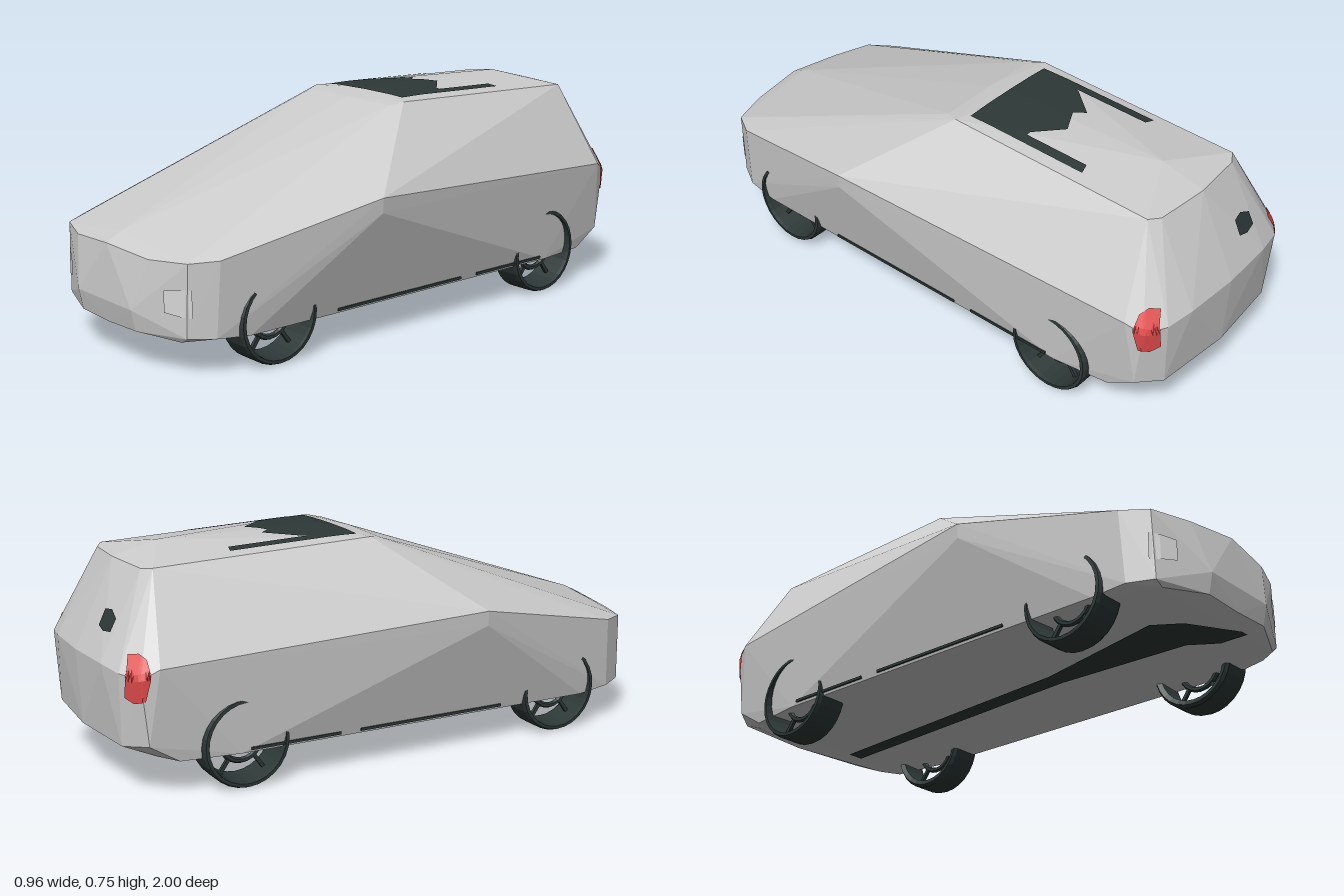
import * as THREE from 'three';
import { ConvexGeometry } from 'three/addons/geometries/ConvexGeometry.js';

const material = (name, color, side = THREE.FrontSide) => {
  const m = new THREE.MeshStandardMaterial({ color, side, flatShading: true });
  m.name = name;
  return m;
};

export function createModel() {
  const car = new THREE.Group();
  car.name = 'car';
  const paint = material('silver paint', 0xcbcbcb);
  const dark = material('dark rubber and glass', 0x2d3837, THREE.DoubleSide);
  const red = material('red lamp', 0xe04a4a, THREE.DoubleSide);
  const lens = material('clear lens', 0xd6d6d6, THREE.DoubleSide);

  const add = (name, geometry, mat, parent = car) => {
    const mesh = new THREE.Mesh(geometry, mat);
    mesh.name = name;
    parent.add(mesh);
    return mesh;
  };

  // Faceted body shell: half of its corners, mirrored in x
  const corners = [
    // nose
    [0, 0.125, 0.985], [0.15, 0.2, 1], [0.15, 0.13, 0.985], [0.2, 0.365, 0.965], [0, 0.38, 0.985],
    [0.33, 0.135, 0.92], [0.335, 0.37, 0.915], [0.375, 0.13, 0.84], [0.385, 0.375, 0.83], [0, 0.41, 0.925],
    // widest points at the mirrors
    [0.478, 0.495, 0.26], [0.475, 0.445, 0.26],
    // roof
    [0.21, 0.722, 0], [0, 0.728, 0], [0.23, 0.732, -0.05], [0, 0.745, -0.12],
    [0, 0.748, -0.71], [0.23, 0.708, -0.82], [0.19, 0.703, -0.845], [0, 0.708, -0.865],
    // tail
    [0, 0.42, -1], [0.2, 0.42, -0.99], [0.3, 0.41, -0.97], [0.365, 0.4, -0.925], [0.39, 0.43, -0.87],
    [0, 0.17, -0.985], [0.28, 0.17, -0.96], [0.36, 0.18, -0.9], [0.31, 0.13, -0.86],
    // floor
    [0.385, 0.118, 0.72], [0.385, 0.118, -0.6], [0.36, 0.118, -0.8], [0.3, 0.118, 0.92],
  ];
  const points = corners.flatMap(([x, y, z]) =>
    (x ? [1, -1] : [1]).map((s) => new THREE.Vector3(s * x, y, z)));
  const body = add('bodyShell', new ConvexGeometry(points), paint);
  body.updateMatrixWorld();

  // Thin patch laid on the shell. Columns are [a, b0, b1] in the plane seen along an axis.
  const ray = new THREE.Raycaster();
  const views = {
    top: (a, b) => [[a, 3, b], [0, -1, 0]],
    floor: (a, b) => [[a, -3, b], [0, 1, 0]],
    front: (a, b) => [[a, b, 3], [0, 0, -1]],
    back: (a, b) => [[a, b, -3], [0, 0, 1]],
    left: (a, b) => [[3, b, a], [-1, 0, 0]],
    right: (a, b) => [[-3, b, a], [1, 0, 0]],
  };
  function patch(name, mat, view, columns, rows = 8, split = 3) {
    const positions = [], index = [];
    const total = (columns.length - 1) * split;
    for (let i = 0; i <= total; i++) {
      const k = Math.min(Math.floor(i / split), columns.length - 2);
      const t = i / split - k;
      const [a, b0, b1] = columns[k].map((v, n) => v + (columns[k + 1][n] - v) * t);
      for (let j = 0; j <= rows; j++) {
        const [o, d] = views[view](a, b0 + (b1 - b0) * j / rows);
        ray.set(new THREE.Vector3(...o), new THREE.Vector3(...d));
        const hit = ray.intersectObject(body)[0];
        const p = hit ? hit.point.addScaledVector(hit.face.normal, 0.004) : new THREE.Vector3(...o).setLength(0.5);
        positions.push(p.x, p.y, p.z);
        if (i < total && j < rows) {
          const q = i * (rows + 1) + j, r = q + rows + 1;
          index.push(q, r, q + 1, r, r + 1, q + 1);
        }
      }
    }
    const g = new THREE.BufferGeometry();
    g.setAttribute('position', new THREE.Float32BufferAttribute(positions, 3));
    g.setIndex(index);
    g.computeVertexNormals();
    return add(name, g, mat);
  }

  // Roof glass with a ragged rear edge
  patch('roofGlass', dark, 'top', [
    [-0.19, -0.08, -0.15], [-0.15, -0.08, -0.26], [-0.06, -0.08, -0.365], [-0.03, -0.08, -0.33],
    [0.055, -0.08, -0.375], [0.14, -0.08, -0.29], [0.19, -0.08, -0.29]]);

  // Rear window spot and underfloor strip
  patch('rearWindowSpot', dark, 'back', [[-0.185, 0.51, 0.55], [-0.14, 0.505, 0.57], [-0.1, 0.515, 0.565]]);
  const strip = [[0.93, 0.14, 0.11], [0.83, 0.14, -0.06], [0.74, 0.08, -0.12],
    [0.25, 0.06, -0.01], [-0.78, 0.13, 0.07]];
  const stripShape = new THREE.Shape([...strip.map(([z, a]) => new THREE.Vector2(a, z)),
    ...strip.map(([z, , b]) => new THREE.Vector2(b, z)).reverse()]);
  add('underfloorStrip', new THREE.ShapeGeometry(stripShape).rotateX(Math.PI / 2), dark).position.y = 0.114;

  // Hollow tyre with a thin tread, bead ring and spokes
  const tyreProfile = [[0.125, -0.05], [0.142, -0.057], [0.15, -0.045], [0.15, 0.045],
    [0.145, 0.057], [0.134, 0.058], [0.132, 0.045], [0.125, -0.05]].map((p) => new THREE.Vector2(...p));
  function wheel(side, z) {
    const group = new THREE.Group();
    group.name = 'wheel';
    add('tyre', new THREE.LatheGeometry(tyreProfile, 28).rotateZ(-Math.PI / 2), dark, group);
    add('hubRing', new THREE.TorusGeometry(0.072, 0.01, 6, 24).rotateY(Math.PI / 2), dark, group);
    for (let i = 0; i < 5; i++) {
      const spoke = add('spoke', new THREE.BoxGeometry(0.012, 0.062, 0.012).translate(0, 0.102, 0), dark, group);
      spoke.rotation.x = (i * Math.PI * 2) / 5;
    }
    group.position.set(side * 0.342, 0.153, z);
    group.rotation.y = side < 0 ? Math.PI : 0;
    car.add(group);
  }

  for (const s of [1, -1]) {
    // Roof rails
    patch('roofRail', dark, 'top', [[s * 0.155, -0.09, -0.53], [s * 0.19, -0.09, -0.54]], 10);
    // Tail lamps wrapping the rear corners
    patch('tailLamp', red, s > 0 ? 'left' : 'right',
      [[-0.895, 0.4, 0.455], [-0.91, 0.33, 0.47], [-0.935, 0.32, 0.465], [-0.955, 0.335, 0.4]]);
    // Headlamps
    patch('headlamp', lens, 'front', [[s * 0.26, 0.21, 0.28], [s * 0.34, 0.2, 0.29]]);
    // Sill trim
    for (const [z, length] of [[0.1, 0.55], [-0.41, 0.32]]) {
      add('sillTrim', new THREE.BoxGeometry(0.014, 0.009, length), dark).position.set(s * 0.387, 0.131, z);
    }
    wheel(s, 0.615);
    wheel(s, -0.585);
  }
  return car;
}
